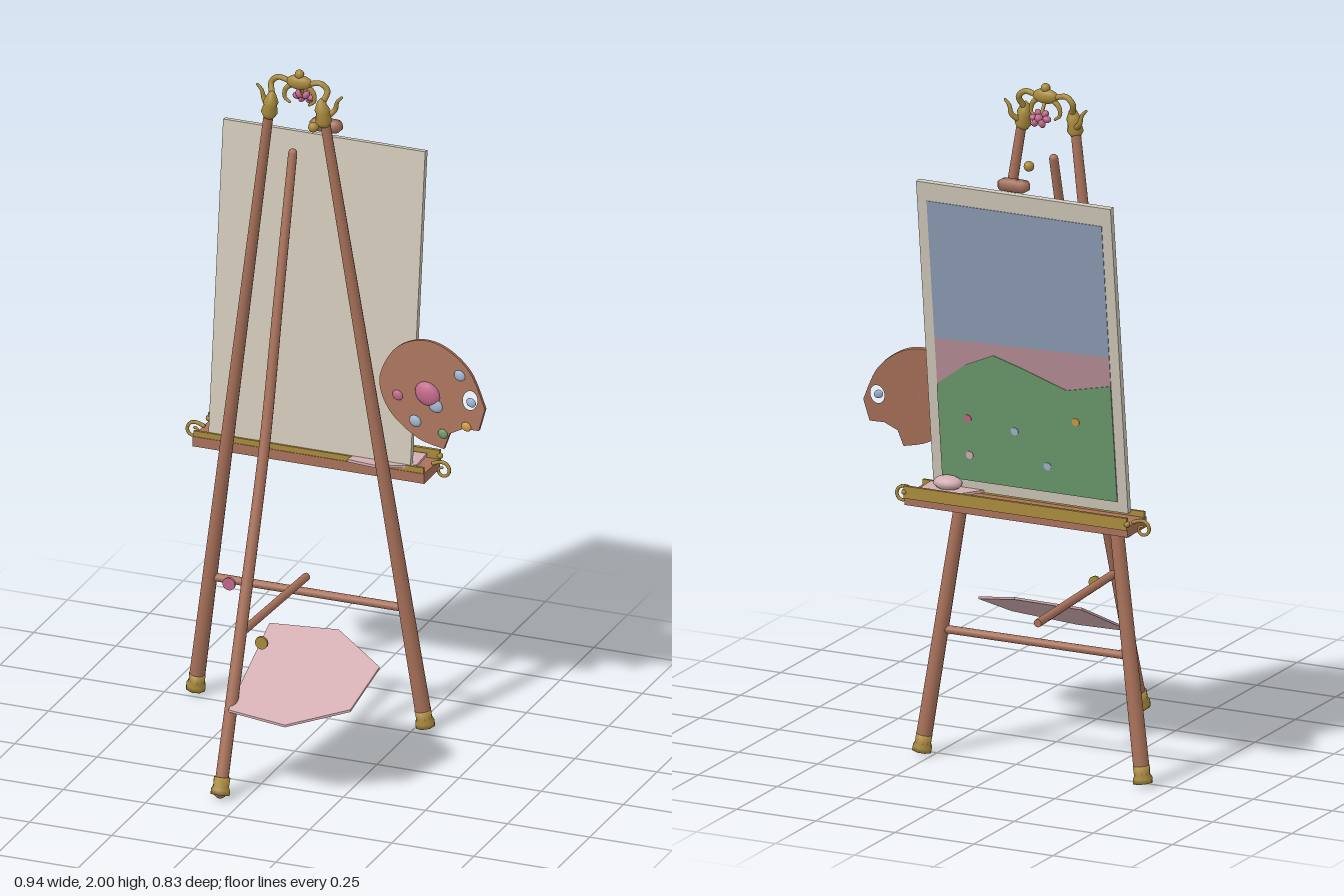
import * as THREE from 'three';

const mat = (name, color) => Object.assign(new THREE.MeshStandardMaterial({ color }), { name });
const M = {
  wood: mat('wood', 0xa8715a), gold: mat('brass', 0xa88a3c), cream: mat('canvas cream', 0xcfc7b8),
  cloth: mat('pale pink cloth', 0xd2adb1), sky: mat('sky blue', 0x8c9cb4), dusk: mat('dusk pink', 0xb58c94),
  green: mat('meadow green', 0x6b9a6c), rose: mat('rose', 0xc0688a), orange: mat('ochre', 0xd09a40),
  blue: mat('pale blue', 0x9fb4d0),
};
const V = (x, y, z) => new THREE.Vector3(x, y, z);

function add(parent, name, geo, material, pos = [0, 0, 0], rot = [0, 0, 0], scale = [1, 1, 1]) {
  const m = new THREE.Mesh(geo, material);
  m.name = name;
  m.position.set(...pos);
  m.rotation.set(...rot);
  m.scale.set(...scale);
  parent.add(m);
  return m;
}

// Round bar between two points, r0 at a and r1 at b
function bar(parent, name, a, b, r0, r1, material, sides = 12) {
  const d = b.clone().sub(a);
  const m = add(parent, name, new THREE.CylinderGeometry(r1, r0, d.length(), sides), material);
  m.position.copy(a).addScaledVector(d, 0.5);
  m.quaternion.setFromUnitVectors(V(0, 1, 0), d.normalize());
  return m;
}

// Smooth tube tapering from r0 to r1, with rounded ends
function taperTube(parent, name, pts, r0, r1, material, seg = 20, sides = 10) {
  const curve = new THREE.CatmullRomCurve3(pts);
  const geo = new THREE.TubeGeometry(curve, seg, 1, sides);
  const p = geo.attributes.position, v = V(0, 0, 0);
  for (let i = 0; i < p.count; i++) {
    const t = Math.floor(i / (sides + 1)) / seg, c = curve.getPointAt(t);
    v.fromBufferAttribute(p, i).sub(c).multiplyScalar(r0 + (r1 - r0) * t).add(c);
    p.setXYZ(i, v.x, v.y, v.z);
  }
  add(parent, name, geo, material);
  for (const [q, r] of [[pts[0], r0], [pts[pts.length - 1], r1]])
    add(parent, name + 'End', new THREE.SphereGeometry(r, 10, 8), material, q.toArray());
}

const shapeOf = pts => new THREE.Shape(pts.map(([x, y]) => new THREE.Vector2(x, y)));
const slab = (shape, depth) => new THREE.ExtrudeGeometry(shape, { depth, bevelEnabled: false });
// Horizontal sheet from (x, z) corners
const sheet = (pts, depth) => slab(shapeOf(pts.map(([x, z]) => [x, -z])), depth).rotateX(-Math.PI / 2);

function addFoot(parent, at, lean) {
  const profile = [[0, 0], [0.029, 0], [0.029, 0.014], [0.024, 0.024], [0.025, 0.05], [0, 0.052]];
  const f = add(parent, 'foot', new THREE.LatheGeometry(profile.map(p => new THREE.Vector2(...p)), 8), M.gold, at.toArray());
  f.quaternion.setFromUnitVectors(V(0, 1, 0), lean.clone().sub(at).normalize());
}

function buildFrame(easel) {
  // Splayed pair of legs with brass feet
  for (const s of [-1, 1]) {
    const foot = V(s * 0.35, 0.012, -0.282), top = V(s * 0.083, 1.88, -0.18);
    bar(easel, 'sideLeg', foot, top, 0.023, 0.014, M.wood);
    addFoot(easel, foot, top);
  }
  // Bent single leg
  const path = [V(0, 0.02, 0.388), V(0, 0.48, 0.225), V(0, 0.95, 0.06), V(0, 1.36, -0.045), V(0, 1.765, -0.15)];
  taperTube(easel, 'singleLeg', path, 0.019, 0.013, M.wood, 28, 12);
  addFoot(easel, V(0, 0.012, 0.39), path[1]);
  // Braces
  bar(easel, 'crossBrace', V(-0.3, 0.373, -0.262), V(0.3, 0.373, -0.262), 0.012, 0.012, M.wood);
  bar(easel, 'depthBrace', V(0, 0.445, 0.225), V(0, 0.425, -0.25), 0.012, 0.012, M.wood);
  // Loose round pegs beside the single leg
  for (const [x, y, m] of [[-0.046, 0.58, M.rose], [0.053, 0.415, M.gold]])
    add(easel, 'peg', new THREE.CylinderGeometry(0.019, 0.019, 0.008, 16), m, [x, y, 0.21], [Math.PI / 2, 0, 0]);
  // Top clamp and its knob
  add(easel, 'clamp', new THREE.CapsuleGeometry(0.02, 0.06, 4, 4), M.wood, [0, 1.752, -0.397], [Math.PI / 4, 0, Math.PI / 2], [1.1, 1, 1.1]);
  add(easel, 'clampKnob', new THREE.SphereGeometry(0.015, 12, 10), M.gold, [0, 1.783, -0.303]);
}

function buildTray(easel) {
  add(easel, 'tray', new THREE.BoxGeometry(0.705, 0.03, 0.118), M.wood, [0, 0.776, -0.325]);
  add(easel, 'trayLip', new THREE.BoxGeometry(0.705, 0.036, 0.01), M.gold, [0, 0.8, -0.385]);
  add(easel, 'trayStrip', new THREE.BoxGeometry(0.7, 0.018, 0.008), M.gold, [0, 0.799, -0.272]);
  for (const s of [-1, 1]) {
    add(easel, 'lipKnob', new THREE.SphereGeometry(0.009, 10, 8), M.gold, [s * 0.352, 0.8, -0.385]);
    // Spiral scroll at the tray end
    const pts = [V(s * 0.35, 0.795, -0.34)];
    for (let i = 0; i <= 10; i++) {
      const a = 1.9 - i * 0.65, r = 0.026 - i * 0.0018;
      pts.push(V(s * (0.378 + r * Math.cos(a)), 0.777 + r * Math.sin(a), -0.34));
    }
    taperTube(easel, 'trayScroll', pts, 0.006, 0.004, M.gold, 36, 6);
  }
}

function buildCanvas(easel) {
  const W = 0.615, H = 0.93;
  const canvas = new THREE.Group();
  canvas.name = 'canvas';
  canvas.position.set(0, 1.263, -0.337);
  canvas.rotation.x = -0.118;
  easel.add(canvas);
  add(canvas, 'canvasPanel', new THREE.BoxGeometry(W, H, 0.018), M.cream);
  // Painted scene on the far face, in u (right) and v (down) fractions
  const art = new THREE.Group();
  art.name = 'painting';
  art.rotation.y = Math.PI;
  canvas.add(art);
  const at = ([u, v]) => [(u - 0.5) * W, (0.5 - v) * H];
  const L = 0.05, R = 0.95, B = 0.965;
  const layers = [
    ['paintedSky', M.sky, [[L, 0.06], [L, 0.51], [R, 0.49], [R, 0.06]]],
    ['paintedHaze', M.dusk, [[L, 0.51], [L, B], [R, B], [R, 0.49]]],
    ['paintedHills', M.green, [[L, 0.66], [L, B], [R, B], [R, 0.585], [0.72, 0.62], [0.5, 0.57], [0.35, 0.54], [0.2, 0.585]]],
  ];
  layers.forEach(([name, m, pts], i) =>
    add(art, name, slab(shapeOf(pts.map(at)), i === 2 ? 0.004 : 0.002), m, [0, 0, 0.0088]));
  const flowers = [[0.2, 0.76, M.rose], [0.44, 0.78, M.blue], [0.76, 0.72, M.orange], [0.2, 0.88, M.cloth], [0.6, 0.88, M.blue]];
  for (const [u, v, m] of flowers)
    add(art, 'paintedFlower', new THREE.CylinderGeometry(0.012, 0.012, 0.003, 10), m, [...at([u, v]), 0.0135], [Math.PI / 2, 0, 0]);
}

function buildCrest(easel) {
  const z = -0.2;
  add(easel, 'crestMedallion', new THREE.SphereGeometry(0.04, 16, 10), M.gold, [0, 1.962, z], [0, 0, 0], [1, 0.55, 0.42]);
  add(easel, 'crestBead', new THREE.SphereGeometry(0.014, 10, 8), M.gold, [0, 1.986, z]);
  const cap = [[0, 0], [0.015, 0], [0.024, 0.015], [0.019, 0.04], [0.022, 0.05], [0.011, 0.075], [0, 0.085]];
  for (const s of [-1, 1]) {
    add(easel, 'legCap', new THREE.LatheGeometry(cap.map(p => new THREE.Vector2(...p)), 10), M.gold,
      [s * 0.085, 1.85, -0.178], [0, 0, s * 0.14]);
    // Curling arms and leaf tips
    taperTube(easel, 'crestArm', [V(s * 0.078, 1.92, -0.185), V(s * 0.085, 1.95, z), V(s * 0.065, 1.968, z), V(s * 0.03, 1.962, z)], 0.009, 0.008, M.gold);
    taperTube(easel, 'outerLeaf', [V(s * 0.088, 1.875, -0.185), V(s * 0.108, 1.895, z), V(s * 0.115, 1.92, z), V(s * 0.128, 1.935, z)], 0.01, 0.004, M.gold);
    taperTube(easel, 'innerLeaf', [V(s * 0.022, 1.955, z), V(s * 0.042, 1.935, z), V(s * 0.045, 1.91, z), V(s * 0.03, 1.897, z)], 0.009, 0.004, M.gold);
  }
  // Small rose hanging behind the medallion
  for (let i = 0; i < 6; i++) {
    const a = i * Math.PI / 3;
    add(easel, 'rosePetal', new THREE.SphereGeometry(0.014, 8, 6), M.rose,
      [0.021 * Math.cos(a), 1.905 + 0.012 * Math.sin(a), -0.234 + 0.012 * Math.sin(a)], [0, 0, a], [1, 0.7, 0.8]);
  }
  add(easel, 'roseHeart', new THREE.SphereGeometry(0.013, 8, 6), M.rose, [0, 1.908, -0.242]);
  bar(easel, 'roseStem', V(0, 1.955, z), V(0, 1.905, -0.232), 0.005, 0.005, M.gold, 6);
}

function buildPalette(root) {
  const palette = new THREE.Group();
  palette.name = 'palette';
  palette.position.set(0.31, 1.04, -0.27);
  palette.rotation.set(-0.14, 0.06, 0);
  root.add(palette);
  const rim = [[0.16, -0.02], [0.145, -0.085], [0.1, -0.085], [0.06, -0.105], [0.045, -0.152]];
  const shape = shapeOf(rim);
  shape.splineThru([[-0.035, -0.13], [-0.115, -0.07], [-0.153, 0.0], [-0.15, 0.06], [-0.11, 0.125], [-0.04, 0.155],
    [0.035, 0.14], [0.11, 0.08], [0.16, -0.02]].map(p => new THREE.Vector2(...p)));
  const hole = new THREE.Path();
  hole.absellipse(0.115, 0, 0.022, 0.028, 0, Math.PI * 2, true);
  shape.holes.push(hole);
  add(palette, 'paletteBoard', slab(shape, 0.014), M.wood);
  const dabs = [[-0.012, 0.002, 0.036, M.rose], [0.014, -0.03, 0.02, M.blue], [0.08, 0.068, 0.016, M.blue], [-0.1, -0.014, 0.015, M.rose],
    [-0.044, -0.082, 0.017, M.blue], [0.04, -0.108, 0.014, M.green], [0.108, -0.078, 0.014, M.orange], [0.118, -0.006, 0.014, M.blue]];
  for (const [x, y, r, m] of dabs)
    add(palette, 'paintDab', new THREE.SphereGeometry(r, 12, 8), m, [x, y, 0.014], [0, 0, -0.6], [1.1, 0.9, 0.4]);
}

function buildCloths(root) {
  // Slanting cloth beside the single leg
  const geo = sheet([[-0.065, 0.03], [0.14, 0.015], [0.305, 0.115], [0.28, 0.27], [0.115, 0.355], [-0.065, 0.335]], 0.007);
  const p = geo.attributes.position;
  for (let i = 0; i < p.count; i++) p.setY(i, p.getY(i) + 0.396 - 0.475 * (p.getZ(i) - 0.015));
  geo.computeVertexNormals();
  add(root, 'hangingCloth', geo, M.cloth);
  // Rag lying on the tray with a crumpled lump
  add(root, 'trayRag', sheet([[0.06, -0.262], [0.06, -0.245], [0.15, -0.235], [0.255, -0.28], [0.25, -0.37], [0.13, -0.365]], 0.008), M.cloth, [0, 0.8, 0]);
  add(root, 'ragLump', new THREE.SphereGeometry(0.035, 14, 10), M.cloth, [0.18, 0.824, -0.32], [0, 0, 0], [1.25, 0.6, 0.9]);
}

export function createModel() {
  const root = new THREE.Group();
  root.name = 'paintersEasel';
  const easel = new THREE.Group();
  easel.name = 'easel';
  easel.position.x = -0.068;
  root.add(easel);
  buildFrame(easel);
  buildTray(easel);
  buildCanvas(easel);
  buildCrest(easel);
  buildPalette(root);
  buildCloths(root);
  return root;
}
